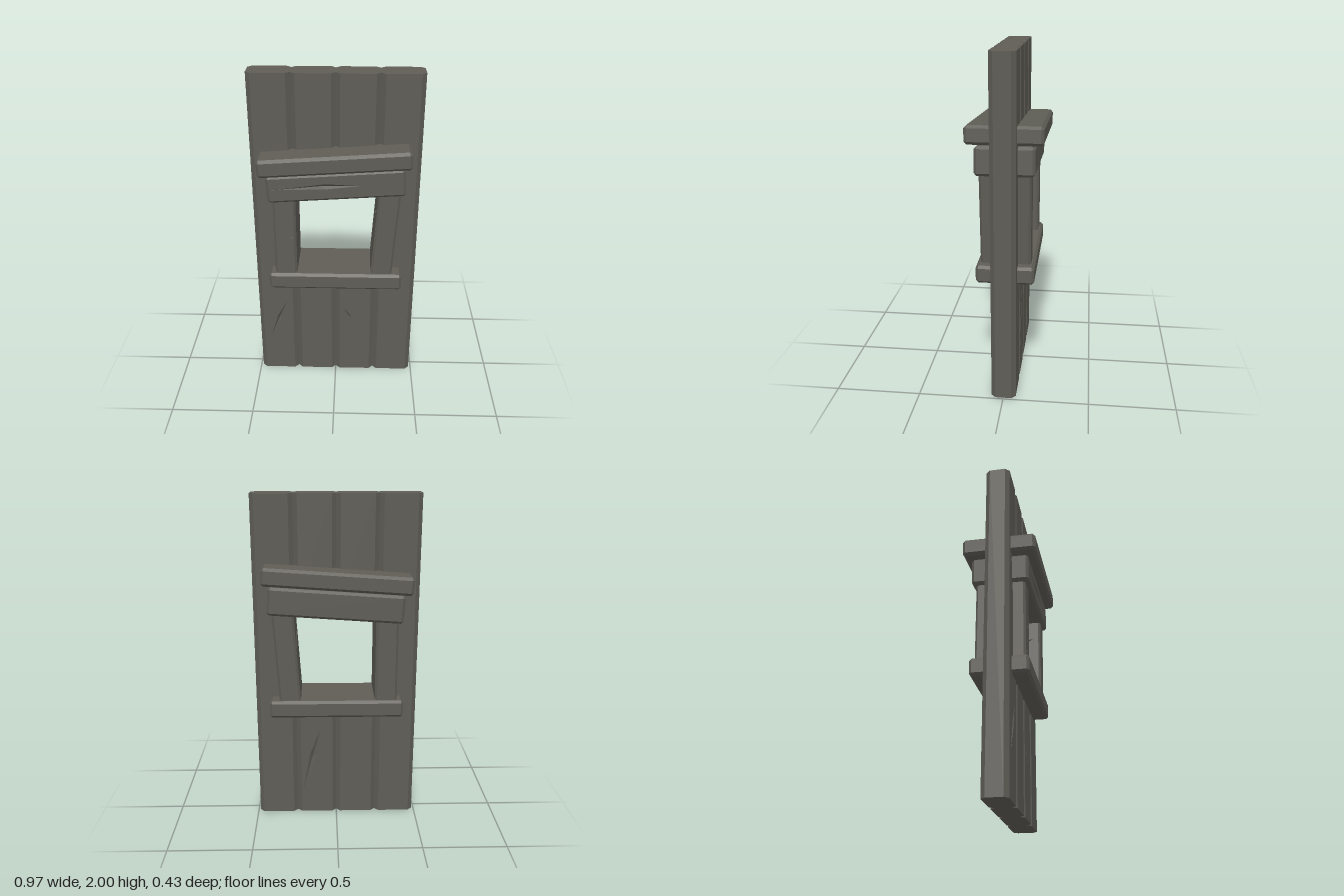
import * as THREE from 'three';
import { ConvexGeometry } from 'three/addons/geometries/ConvexGeometry.js';

const material = new THREE.MeshStandardMaterial({ color: 0x5f5d56, flatShading: true });
const TILT = 0.07;
const v2 = (p) => p.map(([x, y]) => new THREE.Vector2(x, y));

// Rectangular face at height z with V-shaped cracks sunk into it, as a triangle list
function crackedFace(w, h, z, cracks) {
  const x = w / 2, y = h / 2;
  const shape = new THREE.Shape(v2([[-x, -y], [x, -y], [x, y], [-x, y]]));
  const pits = [];
  for (const crack of cracks) {
    const pts = v2(crack);
    if (THREE.ShapeUtils.isClockWise(pts)) pts.reverse();
    shape.holes.push(new THREE.Path(pts));
    const mid = pts.reduce((s, p) => s.add(p), new THREE.Vector2()).divideScalar(pts.length);
    pts.forEach((a, i) => {
      const b = pts[(i + 1) % pts.length];
      pits.push(a.x, a.y, z, b.x, b.y, z, mid.x, mid.y, z - 0.02);
    });
  }
  const flat = new THREE.ShapeGeometry(shape).toNonIndexed().translate(0, 0, z);
  return [...flat.attributes.position.array, ...pits];
}

// Chamfered timber; endCut = false leaves the top and bottom ends square
function timber(name, [w, h, d], c, { endCut = true, front = [], back = [] } = {}) {
  const pts = [];
  const X = w / 2, Y = h / 2, Z = d / 2, e = endCut ? c : 0;
  for (const sx of [-1, 1]) for (const sy of [-1, 1]) for (const sz of [-1, 1]) {
    const add = (x, y, z) => pts.push(new THREE.Vector3(sx * x, sy * y, sz * z));
    add(X, Y - e, Z - c);
    add(X - c, Y - e, Z);
    if (endCut) add(X - c, Y, Z - c);
  }
  const hull = new ConvexGeometry(pts).attributes;
  const pos = [];
  // Keep every hull triangle except the front and back, which get cracks
  for (let i = 0; i < hull.position.count; i += 3) {
    if (Math.abs(hull.normal.getZ(i)) > 0.99) continue;
    for (let k = i; k < i + 3; k++) pos.push(hull.position.getX(k), hull.position.getY(k), hull.position.getZ(k));
  }
  const fw = w - 2 * c, fh = h - 2 * e;
  pos.push(...crackedFace(fw, fh, Z, front));
  const rear = crackedFace(fw, fh, Z, back.map((k) => k.map(([x, y]) => [-x, y])));
  rear.forEach((n, i) => pos.push(i % 3 === 1 ? n : -n));

  const geo = new THREE.BufferGeometry();
  geo.setAttribute('position', new THREE.Float32BufferAttribute(pos, 3));
  geo.computeVertexNormals();
  const mesh = new THREE.Mesh(geo, material);
  mesh.name = name;
  return mesh;
}

export function createModel() {
  const group = new THREE.Group();
  group.name = 'plankWallWithWindow';

  // Wall planks; the two middle ones are interrupted by the window
  const plank = (name, x0, x1, y0, y1, front = [], back = []) => {
    const cx = (x0 + x1) / 2, cy = (y0 + y1) / 2;
    const local = (list) => list.map((k) => k.map(([x, y]) => [x - cx, y - cy]));
    const m = timber(name, [x1 - x0, y1 - y0, 0.144], 0.025,
      { endCut: false, front: local(front), back: local(back) });
    m.position.set(cx, cy, 0);
    group.add(m);
  };
  plank('rightPlank', -0.487, -0.245, 0, 2,
    [[[-0.31, 0.53], [-0.37, 0.42], [-0.42, 0.25], [-0.345, 0.4]]]);
  plank('leftPlank', 0.245, 0.487, 0, 2);
  plank('lowerMiddlePlankRight', -0.245, 0, 0, 0.75);
  plank('lowerMiddlePlankLeft', 0, 0.245, 0, 0.75,
    [[[0.055, 0.49], [0.1, 0.42], [0.088, 0.425], [0.137, 0.275], [0.057, 0.45]]],
    [[[0.21, 0.15], [0.12, 0.4], [0.1, 0.57], [0.165, 0.4]]]);
  plank('upperMiddlePlankRight', -0.245, 0, 1.37, 2);
  plank('upperMiddlePlankLeft', 0, 0.245, 1.37, 2);

  // Window frame timbers run right through the wall
  const place = (m, x, y, tilt = 0) => {
    m.position.set(x, y, 0);
    m.rotation.z = tilt;
    group.add(m);
    return m;
  };
  place(timber('windowSill', [0.8, 0.105, 0.335], 0.015), 0, 0.743);
  place(timber('header', [0.79, 0.165, 0.335], 0.015,
    { front: [[[-0.365, 0.002], [-0.053, -0.01], [0.137, 0], [-0.053, 0.022]]] }), 0.003, 1.38, TILT);
  place(timber('topLedge', [0.865, 0.105, 0.432], 0.016), -0.005, 1.527, TILT);
  place(timber('rightPost', [0.132, 0.56, 0.29], 0.013,
    { front: [[[0.027, 0.01], [0.051, -0.005], [0.051, 0.015]]] }), -0.296, 1.03);

  // Leaning post, turned so that its cracked face looks into the window
  const leftPost = place(timber('leftPost', [0.29, 0.6, 0.127], 0.013,
    { front: [[[-0.1, 0.05], [0, 0.08], [0.1, 0.14], [-0.02, 0.12]]] }), 0.294, 1.05, -0.067);
  leftPost.rotation.order = 'ZYX';
  leftPost.rotation.y = -Math.PI / 2;

  return group;
}
